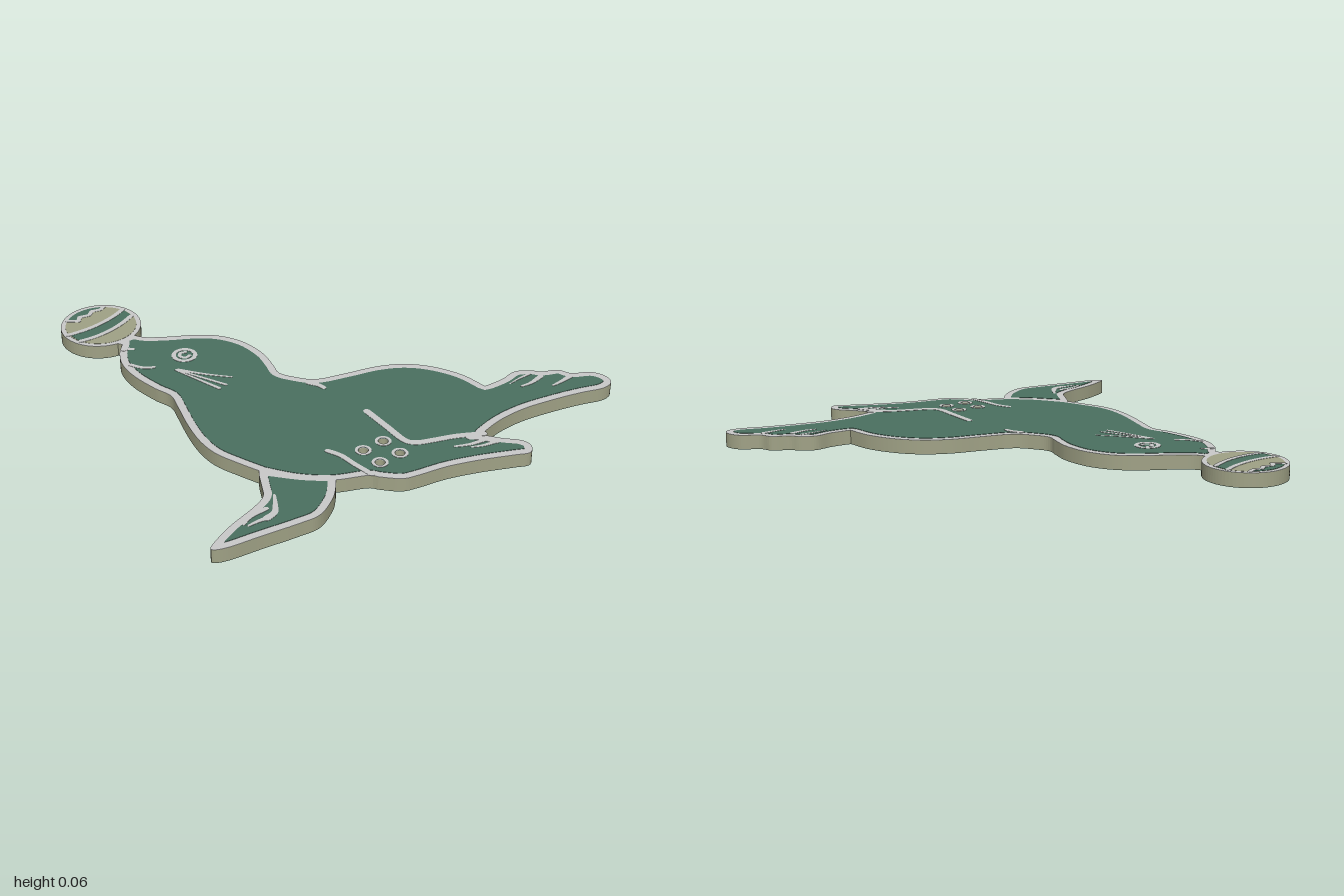
import * as THREE from 'three';

// Drafting grid: the flat artwork is drawn on a plan, SCALE grid steps per unit.
const SCALE = 189.3, OX = 1134.3, OZ = 225;
const V = (x, z) => new THREE.Vector2((x - OX) / SCALE, (OZ - z) / SCALE);
const pairs = (a) => a.reduce((o, v, i) => (i % 2 ? [...o, V(a[i - 1], v)] : o), []);

// Smooth curve through points, evenly sampled
function smooth(a) {
  const c = new THREE.SplineCurve(pairs(a));
  return c.getSpacedPoints(Math.max(3, Math.ceil(c.getLength() * SCALE / 2)));
}
// Closed outline from curves that meet at sharp corners
const outline = (runs) => runs.flatMap((r) => smooth(r).slice(0, -1));

// Counter-clockwise outline moved inward by d, without the folded-over points
function inset(points, d) {
  const pts = THREE.ShapeUtils.area(points) < 0 ? [...points].reverse() : points;
  const n = pts.length;
  return pts.map((p, i) => {
    const t = pts[(i + 1) % n].clone().sub(pts[(i + n - 1) % n]).normalize();
    return new THREE.Vector2(p.x - t.y * d, p.y + t.x * d);
  }).filter((q) => pts.every((p) => p.distanceTo(q) > d * 0.96));
}

// Line with round ends; widths w0 to w1 in grid steps
function stroke(a, w0, w1 = w0) {
  const c = smooth(a), left = [], right = [], n = c.length - 1;
  c.forEach((p, i) => {
    const t = c[Math.min(i + 1, n)].clone().sub(c[Math.max(i - 1, 0)]).normalize();
    const w = (w0 + (w1 - w0) * i / n) / 2 / SCALE;
    const side = (ang) => new THREE.Vector2(
      p.x + w * (t.x * Math.cos(ang) - t.y * Math.sin(ang)),
      p.y + w * (t.y * Math.cos(ang) + t.x * Math.sin(ang)));
    left.push(side(Math.PI / 2));
    right.unshift(side(-Math.PI / 2));
    if (i === n) for (const k of [0.25, 0, -0.25]) left.push(side(k * Math.PI));
    if (i === 0) for (const k of [-0.75, 1, 0.75]) right.push(side(k * Math.PI));
  });
  return new THREE.Shape([...left, ...right]);
}

const circlePts = (x, z, r, n = 48, from = 0, to = 360) => Array.from({ length: n }, (_, i) => {
  const a = THREE.MathUtils.degToRad(from + (to - from) * i / (to - from === 360 ? n : n - 1));
  return V(x + r * Math.cos(a), z - r * Math.sin(a));
});
function ring(x, z, r, hole) {
  const s = new THREE.Shape(circlePts(x, z, r, 32));
  s.holes.push(new THREE.Path(circlePts(x, z, hole, 32).reverse()));
  return s;
}

export function createModel() {
  const mat = (name, color) => Object.assign(new THREE.MeshStandardMaterial({ color }), { name });
  const green = mat('green mask', 0x4a7060);
  const silver = mat('silver metal', 0xcacaca);
  const tan = mat('tan board', 0xa0a286);
  const model = new THREE.Group();
  model.name = 'sealBoard';

  // Flat slab between heights y0 and y1
  function slab(name, shapes, y0, y1, material, parent = model) {
    const g = new THREE.ExtrudeGeometry(shapes, { depth: y1 - y0, bevelEnabled: false, curveSegments: 12 });
    g.rotateX(-Math.PI / 2).translate(0, y0, 0);
    const m = new THREE.Mesh(g, material);
    m.name = name;
    parent.add(m);
  }

  const body = outline([
    [1041, 97, 1051, 98, 1060, 98],
    [1060, 98, 1066, 107, 1080, 117, 1097, 127, 1110, 137, 1119, 149, 1125, 165, 1126, 186, 1122, 204, 1119, 215,
      1124, 226, 1136, 240, 1160, 248, 1185, 255, 1205, 266, 1220, 283, 1230, 305, 1233, 328],
    [1233, 328, 1250, 329, 1265, 327, 1276, 333, 1282, 340, 1294, 346, 1299, 356, 1312, 364, 1317, 375, 1314, 384,
      1303, 386, 1285, 380, 1262, 374, 1235, 369, 1210, 369, 1186, 374],
    [1186, 374, 1195, 387, 1204, 397, 1206, 406, 1199, 413, 1187, 408, 1165, 398, 1140, 389, 1116, 384, 1104, 380,
      1093, 369, 1087, 362, 1064, 351, 1045, 334, 1030, 312],
    [1030, 312, 1023, 293, 1017, 273, 1017, 253, 1022, 230, 1030, 205, 1034, 190, 1030, 174, 1027, 150, 1029, 130,
      1036, 115, 1045, 105],
    [1045, 105, 1043, 101, 1041, 97],
  ]);
  const flipper = outline([
    [1030, 309, 1038, 319, 1051, 334, 1068, 349],
    [1068, 349, 1061, 358, 1050, 368, 1032, 377, 1015, 376, 985, 371, 960, 367, 950, 362, 956, 357, 975, 349,
      1000, 342, 1013, 336, 1020, 325, 1026, 314, 1030, 309],
  ]);
  const BX = 1047.5, BZ = 69;
  const ball = circlePts(BX, BZ, 32.6, 72);

  // Four sewing holes through the body
  const holes = [1104, 1123].flatMap((x) => [336.5, 355.5].map((z) => [x, z]));
  const drilled = (pts) => {
    const s = new THREE.Shape(pts);
    s.holes = holes.map(([x, z]) => new THREE.Path(circlePts(x, z, 3.8, 24)));
    return s;
  };

  // Board layers, from the underside up
  const BORDER = 6 / SCALE;
  const parts = { body: [body, drilled], flipper: [flipper, (p) => new THREE.Shape(p)], ball: [ball, (p) => new THREE.Shape(p)] };
  for (const [name, [pts, make]] of Object.entries(parts)) {
    slab(name + 'Underside', make(pts), 0.001, 0.003, green);
    slab(name + 'Core', make(pts), 0.003, 0.06, tan);
    slab(name + 'Border', make(pts), 0.06, 0.0615, silver);
    if (name !== 'ball') slab(name + 'Skin', make(inset(pts, BORDER)), 0.0615, 0.063, green);
  }
  const detail = (name, shapes, material = silver) => slab(name, shapes, 0.063, 0.0642, material);
  slab('holeRingsTop', holes.map(([x, z]) => ring(x, z, 6.2, 3.8)), 0.063, 0.0642, silver);
  slab('holeRingsUnderside', holes.map(([x, z]) => ring(x, z, 6.2, 3.8)), 0, 0.001, silver);

  // Ball: tan face, green band and zigzag cap
  slab('ballFace', new THREE.Shape(circlePts(BX, BZ, 28.8, 64)), 0.0615, 0.0622, tan);
  const band = [...smooth([1019.5, 68, 1034, 69.5, 1048, 68, 1062, 65, 1075, 60]),
    ...smooth([1076, 70.5, 1062, 76, 1048, 79.5, 1034, 80.5, 1020.5, 79])];
  slab('ballBand', new THREE.Shape(band), 0.0622, 0.063, green);
  const zigzag = [1029, 47, 1036, 53, 1040, 48, 1048, 50, 1053, 46, 1060, 48, 1066, 45];
  slab('ballCap', new THREE.Shape([...circlePts(BX, BZ, 28.8, 16, 53, 130), ...pairs(zigzag)]), 0.0622, 0.063, green);
  const zigzagLines = [];
  for (let i = 0; i < zigzag.length - 2; i += 2) zigzagLines.push(stroke(zigzag.slice(i, i + 4), 3.6));
  detail('ballZigzag', zigzagLines);
  detail('ballStripes', [
    stroke([1018, 66.5, 1034, 68, 1048, 67, 1062, 64, 1075, 59], 4),
    stroke([1021, 80.5, 1034, 82, 1048, 81, 1062, 77.5, 1075, 72], 4),
  ]);

  // Face
  detail('eyeRing', ring(1075, 149, 10.3, 6.8));
  detail('eyeGlint', stroke([1078, 146, 1074, 144.8, 1071, 149, 1074, 153, 1078, 152], 3));
  detail('whiskers', [
    stroke([1057, 163, 1063, 184, 1069, 205], 1.5, 3),
    stroke([1058, 163, 1067, 184, 1076, 204], 2, 2.5),
    stroke([1059, 164, 1072, 182, 1086, 198], 3, 1.5),
  ]);
  detail('mouth', stroke([1033, 134, 1037, 142, 1042, 147, 1046, 149], 3.5, 3));
  detail('nostril', stroke([1041, 113, 1045, 114, 1048, 117], 4, 2.5));

  // Limb and fold lines
  detail('neckFold', stroke([1128, 241, 1132, 248, 1133, 254], 5, 4));
  detail('chestFold', stroke([1083, 321, 1087, 332, 1088, 346, 1090, 363], 4.5));
  detail('flipperFold', stroke([1138.5, 299, 1137, 325, 1136, 345, 1141, 353, 1152, 358, 1170, 365, 1188, 375], 5.5));
  detail('flipperToes', [
    stroke([1160, 374, 1171, 379, 1182, 381], 2, 4),
    stroke([1169, 382, 1178, 386, 1189, 388], 1.5, 4),
    stroke([1176, 372, 1183, 379, 1188, 388], 5, 5),
  ]);
  detail('tailToes', [
    stroke([1255, 346, 1264, 347, 1276, 345], 2, 4.5),
    stroke([1250, 338, 1260, 337, 1272, 337], 1, 2.5),
    stroke([1275, 360, 1283, 360, 1294, 359], 2, 4.5),
  ]);
  detail('rearFlipperToes', [
    stroke([983, 354, 992, 350, 1006, 349], 2, 4),
    stroke([1000, 358, 1008, 356, 1014, 349, 1020, 340], 6, 2),
    stroke([985, 357, 993, 357, 1000, 358], 2, 4),
  ]);

  // Plain contact pads on the underside: x, z, width, depth
  const pad = (x, z, w, d) => new THREE.Shape([
    new THREE.Vector2(x - w / 2, -z - d / 2), new THREE.Vector2(x + w / 2, -z - d / 2),
    new THREE.Vector2(x + w / 2, -z + d / 2), new THREE.Vector2(x - w / 2, -z + d / 2)]);
  const pads = [pad(-0.37, 0.3, 0.1, 0.14), pad(-0.41, 0.02, 0.12, 0.14)];
  for (let i = 0; i < 4; i++) {
    for (let j = 0; j < 2; j++) {
      pads.push(pad(-0.08 + i * 0.09, 0.22 + j * 0.11, 0.05, 0.05));
      pads.push(pad(-0.42 + i * 0.09, -0.3 + j * 0.12, 0.06, 0.06));
    }
  }
  pads.push(pad(-0.46, -0.86, 0.14, 0.05), pad(-0.46, -0.78, 0.14, 0.05));
  slab('undersidePads', pads, 0, 0.001, silver);
  return model;
}
